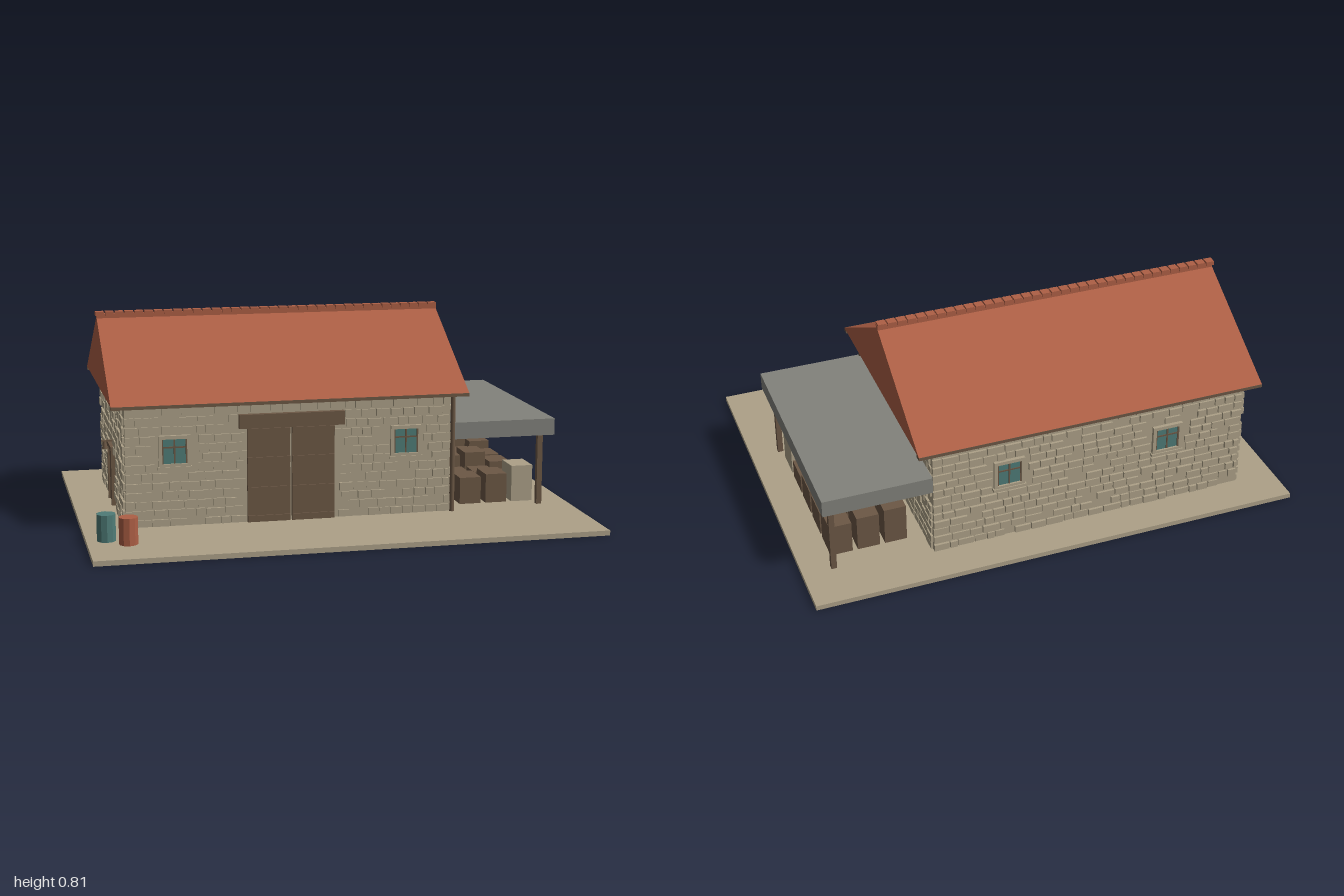
import * as THREE from 'three';
import { mergeGeometries } from 'three/addons/utils/BufferGeometryUtils.js';

const mat = (name, color) => Object.assign(new THREE.MeshStandardMaterial({ color }), { name });
const M = {
  sand: mat('sandstone', 0xada188),
  roof: mat('terracotta', 0xad5f45),
  wood: mat('brown wood', 0x6c5845),
  grey: mat('grey sheet', 0x82827c),
  teal: mat('teal', 0x4f7c77),
};

// Footprint of the stone walls
const CX = -0.175, CZ = -0.14, HALF_X = 0.655, HALF_Z = 0.45, GROUND = 0.02, EAVE = 0.51;

let seed = 7;
const rand = () => {
  seed = (seed * 16807) % 2147483647;
  return seed / 2147483647;
};

function add(parent, name, geometry, material, x = 0, y = 0, z = 0) {
  const mesh = new THREE.Mesh(geometry, material);
  mesh.name = name;
  mesh.position.set(x, y, z);
  parent.add(mesh);
  return mesh;
}

// Box given by its limits on each axis
function block(parent, name, material, x0, x1, y0, y1, z0, z1) {
  return add(parent, name, new THREE.BoxGeometry(x1 - x0, y1 - y0, z1 - z0), material,
    (x0 + x1) / 2, (y0 + y1) / 2, (z0 + z1) / 2);
}

// Courses of slightly raised stones, leaving out the openings [u0, u1, v0, v1]
function stoneCourses(parent, half, openings) {
  const stones = [];
  const rows = 13, rowHeight = (EAVE - 0.012 - GROUND) / rows, gap = 0.006;
  for (let r = 0; r < rows; r++) {
    const v0 = GROUND + r * rowHeight, v1 = v0 + rowHeight - gap;
    let u = -half;
    while (u < half - 0.015) {
      const end = Math.min(half, u + 0.035 + rand() * 0.045);
      const a = u, b = end - gap;
      u = end;
      const blocked = openings.some(([u0, u1, y0, y1]) => b > u0 && a < u1 && v1 > y0 && v0 < y1);
      if (blocked || b - a < 0.01 || rand() < 0.06) continue;
      const out = 0.005 + rand() * 0.006;
      stones.push(new THREE.BoxGeometry(b - a, v1 - v0 - rand() * 0.005, out + 0.004)
        .translate((a + b) / 2, (v0 + v1) / 2, (out - 0.004) / 2));
    }
  }
  add(parent, 'stoneCourses', mergeGeometries(stones), M.sand);
}

function addWindow(parent, u) {
  const g = new THREE.Group();
  g.name = 'window';
  g.position.set(u, 0.32, 0);
  parent.add(g);
  block(g, 'glass', M.teal, -0.05, 0.05, -0.05, 0.05, 0, 0.006);
  for (const s of [-1, 1]) {
    block(g, 'frameSide', M.sand, s * 0.056 - 0.007, s * 0.056 + 0.007, -0.063, 0.063, 0, 0.014);
    block(g, 'frameRail', M.sand, -0.05, 0.05, s * 0.056 - 0.007, s * 0.056 + 0.007, 0, 0.014);
    block(g, 'sashSide', M.wood, s * 0.047 - 0.003, s * 0.047 + 0.003, -0.05, 0.05, 0, 0.01);
  }
  block(g, 'sill', M.sand, -0.068, 0.068, -0.071, -0.06, 0, 0.018);
  block(g, 'mullion', M.wood, -0.003, 0.003, -0.05, 0.05, 0, 0.009);
  block(g, 'transom', M.wood, -0.05, 0.05, 0.013, 0.019, 0, 0.009);
}

// A wall face whose local +z points outward
function wall(parent, name, half, x, z, turn, openings, windows = []) {
  const g = new THREE.Group();
  g.name = name;
  g.position.set(x, 0, z);
  g.rotation.y = turn;
  parent.add(g);
  stoneCourses(g, half, [...openings, ...windows.map((u) => [u - 0.065, u + 0.065, 0.25, 0.385])]);
  windows.forEach((u) => addWindow(g, u));
  return g;
}

export function createModel() {
  const model = new THREE.Group();
  model.name = 'stoneBarn';

  block(model, 'groundSlab', M.sand, -1, 1, 0, GROUND, -0.75, 0.75);
  block(model, 'wallCore', M.sand, CX - HALF_X, CX + HALF_X, GROUND, EAVE, CZ - HALF_Z, CZ + HALF_Z);

  // Stone faces on all four sides
  const front = wall(model, 'frontWall', HALF_X, CX, CZ + HALF_Z, 0,
    [[-0.175, 0.175, 0, 0.4], [-0.21, 0.215, 0.4, 0.455]], [-0.462, 0.47]);
  wall(model, 'backWall', HALF_X, CX, CZ - HALF_Z, Math.PI, [], [-0.345, 0.325]);
  wall(model, 'rightWall', HALF_Z, CX + HALF_X, CZ, Math.PI / 2, []);
  const left = wall(model, 'leftWall', HALF_Z, CX - HALF_X, CZ, -Math.PI / 2,
    [[-0.08, 0.08, 0, 0.27]]);

  // Double barn door with battens and a heavy lintel
  for (const s of [-1, 1]) {
    const u0 = s < 0 ? -0.175 : 0.004, u1 = s < 0 ? -0.004 : 0.175;
    block(front, 'barnDoor', M.wood, u0, u1, GROUND, 0.4, 0, 0.012);
    for (const v of [0.035, 0.15, 0.27, 0.385])
      block(front, 'doorBatten', M.wood, u0, u1, v - 0.012, v + 0.012, 0.012, 0.018);
  }
  block(front, 'doorLintel', M.wood, -0.208, 0.215, 0.4, 0.455, 0, 0.024);

  // Small side door and lamp
  block(left, 'sideDoor', M.wood, -0.06, 0.06, GROUND, 0.25, 0, 0.008);
  for (const s of [-1, 1])
    block(left, 'sideDoorPost', M.wood, s * 0.066 - 0.008, s * 0.066 + 0.008, GROUND, 0.25, 0, 0.016);
  block(left, 'sideDoorLintel', M.wood, -0.078, 0.078, 0.25, 0.266, 0, 0.018);
  add(left, 'doorKnob', new THREE.SphereGeometry(0.005, 8, 6), M.grey, 0.042, 0.13, 0.011);
  block(left, 'lampArm', M.wood, 0.085, 0.095, 0.294, 0.3, 0, 0.055);
  add(left, 'lampShade', new THREE.CylinderGeometry(0.007, 0.011, 0.03, 8), M.wood, 0.09, 0.28, 0.042);

  // Gabled roof, closed at both ends
  const gable = new THREE.Shape();
  gable.moveTo(-0.495, 0);
  gable.lineTo(0.495, 0);
  gable.lineTo(0, 0.285);
  const roof = new THREE.ExtrudeGeometry(gable, { depth: 1.43, bevelEnabled: false });
  roof.rotateY(Math.PI / 2);
  add(model, 'roof', roof, M.roof, -0.885, EAVE, CZ);
  for (const s of [-1, 1]) {
    const z = CZ + s * 0.482;
    block(model, 'eaveBoard', M.wood, -0.885, 0.545, 0.497, EAVE, z - 0.014, z + 0.014);
  }

  // Ridge tiles
  block(model, 'ridge', M.roof, -0.885, 0.545, 0.78, 0.806, CZ - 0.012, CZ + 0.012);
  const tiles = 36, pitch = 1.44 / tiles;
  for (let i = 0; i < tiles; i++) {
    const x = -0.89 + i * pitch;
    block(model, 'ridgeTile', M.roof, x, x + pitch - 0.006, 0.798, 0.815, CZ - 0.017, CZ + 0.017);
  }

  // Drainpipe at the front corner
  add(model, 'drainpipe', new THREE.CylinderGeometry(0.01, 0.01, 0.48, 8), M.wood, 0.49, 0.26, 0.318);

  // Side canopy on two posts
  block(model, 'canopy', M.grey, 0.485, 0.92, 0.317, 0.385, -0.61, 0.325);
  for (const z of [0.273, -0.549])
    block(model, 'canopyPost', M.wood, 0.864, 0.886, GROUND, 0.317, z - 0.011, z + 0.011);

  // Crates stored in rows under the canopy, heights listed by column
  const crateTops = [
    [0.13, 0.115, 0.16, 0.145, 0.178],
    [0.14, 0.115, 0.17, 0.14, 0.168],
    [0.17, 0.097, 0.125, 0.125, 0.155],
  ];
  crateTops.forEach((column, c) => column.forEach((top, r) => {
    const x = 0.6 + c * 0.111, z = 0.158 - r * 0.144;
    block(model, 'crate', c === 2 && r === 0 ? M.sand : M.wood,
      x - 0.045, x + 0.045, GROUND, top, z - 0.061, z + 0.061);
  }));

  // Drums by the front left corner
  for (const [x, z, material] of [[-0.923, 0.47, M.teal], [-0.846, 0.537, M.roof]]) {
    const drum = new THREE.CylinderGeometry(0.037, 0.037, 0.105, 10).toNonIndexed();
    drum.computeVertexNormals();
    add(model, 'drum', drum, material, x, GROUND + 0.0525, z);
  }

  return model;
}
